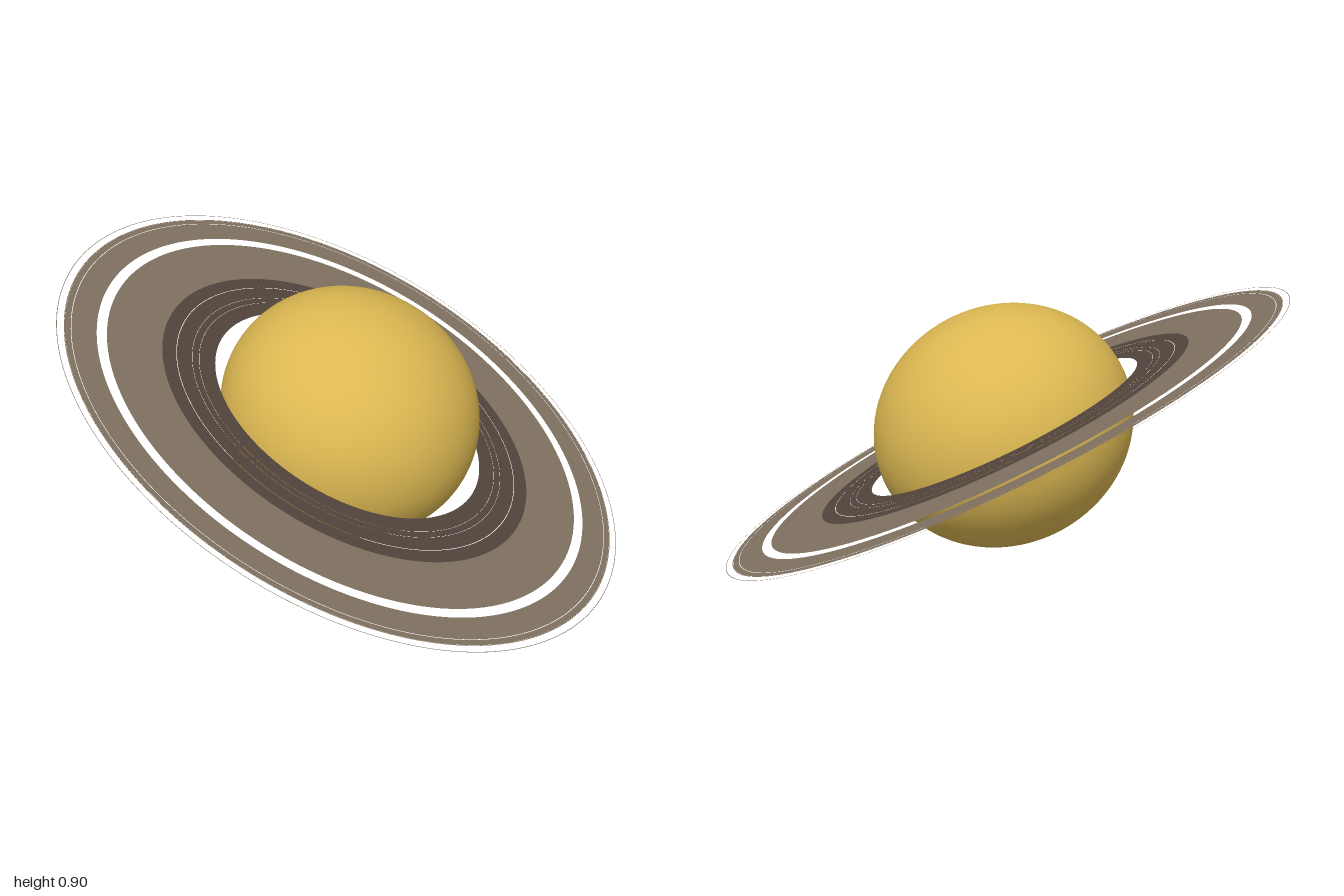
import * as THREE from 'three';

const TILT = THREE.MathUtils.degToRad(26.73);
const EQUATOR = 0.428;
const POLE = 0.387;

const material = (name, color, side = THREE.FrontSide) => {
  const m = new THREE.MeshStandardMaterial({ color, side });
  m.name = name;
  return m;
};

export function createModel() {
  const model = new THREE.Group();
  model.name = 'ringedPlanet';

  const gold = material('planet gold', 0xdcb852);
  const tan = material('ring tan', 0x837563, THREE.DoubleSide);
  const brown = material('inner ring brown', 0x55463e, THREE.DoubleSide);

  // Everything shares one tilted axis, lower on the +x side
  const tilted = new THREE.Group();
  tilted.name = 'tiltedSystem';
  tilted.rotation.z = -TILT;
  tilted.position.y = Math.sin(TILT);
  model.add(tilted);

  // Globe, flattened at the poles
  const globe = new THREE.Mesh(new THREE.SphereGeometry(1, 96, 64), gold);
  globe.name = 'globe';
  globe.scale.set(EQUATOR, POLE, EQUATOR);
  tilted.add(globe);

  // Paper-thin ring bands with narrow gaps: name, inner radius, outer radius, material
  const bands = [
    ['innermostRing', 0.477, 0.5315, brown],
    ['innerRingA', 0.5325, 0.555, brown],
    ['innerRingB', 0.556, 0.607, brown],
    ['innerRingC', 0.609, 0.656, brown],
    ['mainRing', 0.656, 0.838, tan],
    ['outerRing', 0.871, 0.952, tan],
    ['outerRingRim', 0.954, 0.9735, tan],
    ['outerRingEdge', 0.974, 0.976, tan],
    ['farThinRing', 0.998, 1.0, tan],
  ];
  for (const [name, inner, outer, mat] of bands) {
    const geometry = new THREE.RingGeometry(inner, outer, 192, 1);
    geometry.rotateX(-Math.PI / 2);
    const ring = new THREE.Mesh(geometry, mat);
    ring.name = name;
    tilted.add(ring);
  }

  return model;
}
